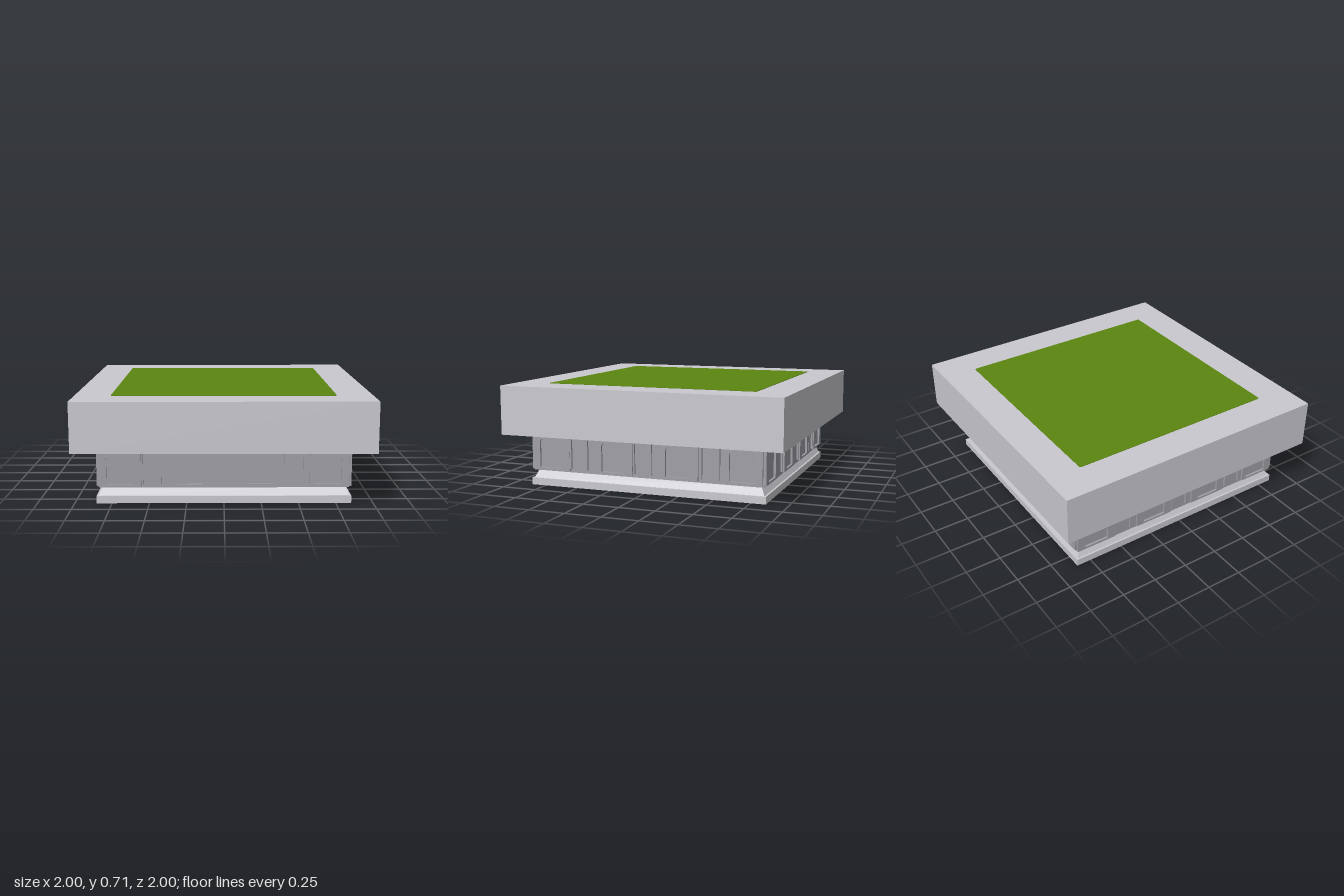
import * as THREE from 'three';

const stone = new THREE.MeshStandardMaterial({ color: 0xcac9cf });
stone.name = 'light stone';
const darkStone = new THREE.MeshStandardMaterial({ color: 0xa09fa5 });
darkStone.name = 'dark stone';
const grass = new THREE.MeshStandardMaterial({ color: 0x5c860f });
grass.name = 'grass green';

const WALL = 0.838, FACE = 0.853;

function add(parent, name, geometry, material, y = 0, z = 0) {
  const mesh = new THREE.Mesh(geometry, material);
  mesh.name = name;
  mesh.position.set(0, y, z);
  parent.add(mesh);
  return mesh;
}

// Closed outline with a square bottom and a shallow arched or rounded top
function arch(Type, x0, x1, y0, y1, rx, ry) {
  const p = new Type();
  p.moveTo(x0, y0);
  p.lineTo(x1, y0);
  p.lineTo(x1, y1 - ry);
  p.quadraticCurveTo(x1, y1, x1 - rx, y1);
  p.lineTo(x0 + rx, y1);
  p.quadraticCurveTo(x0, y1, x0, y1 - ry);
  p.closePath();
  return p;
}

function extrude(shape, depth) {
  return new THREE.ExtrudeGeometry(shape, { depth, bevelEnabled: false, curveSegments: 6 });
}

function createSide() {
  const side = new THREE.Group();

  // Wide frames around arched recesses: outer left, outer right, inner left, inner right
  const frames = [
    [-0.845, -0.553, -0.785, -0.61],
    [-0.37, -0.08, -0.31, -0.14],
    [0.1, 0.39, 0.16, 0.33],
    [0.573, 0.83, 0.605, 0.783],
  ];
  for (const [a, b, c, d] of frames) {
    const shape = arch(THREE.Shape, a, b, 0.115, 0.367, 0.015, 0.012);
    shape.holes.push(arch(THREE.Path, c, d, 0.13, 0.335, 0.06, 0.03));
    add(side, 'archedFrame', extrude(shape, FACE - WALL), darkStone, 0, WALL);
  }

  // Narrow arch mouldings between the frames
  for (const x of [-0.484, -0.008, 0.472]) {
    const w = 0.068, t = 0.012;
    const shape = new THREE.Shape();
    shape.moveTo(x - w, 0.13);
    shape.lineTo(x - w + t, 0.13);
    shape.lineTo(x - w + t, 0.33);
    shape.quadraticCurveTo(x - w + t, 0.353, x - 0.02, 0.353);
    shape.lineTo(x + 0.02, 0.353);
    shape.quadraticCurveTo(x + w - t, 0.353, x + w - t, 0.33);
    shape.lineTo(x + w - t, 0.13);
    shape.lineTo(x + w, 0.13);
    shape.lineTo(x + w, 0.34);
    shape.quadraticCurveTo(x + w, 0.364, x + 0.02, 0.364);
    shape.lineTo(x - 0.02, 0.364);
    shape.quadraticCurveTo(x - w, 0.364, x - w, 0.34);
    shape.closePath();
    add(side, 'narrowArch', extrude(shape, FACE - WALL), darkStone, 0, WALL);
  }
  return side;
}

export function createModel() {
  const model = new THREE.Group();
  model.name = 'pedestal';

  // Foot and its sloped shoulder
  add(model, 'foot', new THREE.BoxGeometry(1.708, 0.05, 1.708), stone, 0.025);
  const slope = new THREE.CylinderGeometry(0.815 * Math.SQRT2, 0.84 * Math.SQRT2, 0.055, 4, 1).toNonIndexed();
  slope.rotateY(Math.PI / 4);
  slope.computeVertexNormals();
  add(model, 'slopedShoulder', slope, stone, 0.0775);

  // Wall with the same carved relief turned onto each side
  add(model, 'wall', new THREE.BoxGeometry(WALL * 2, 0.265, WALL * 2), darkStone, 0.2375);
  ['front', 'left', 'back', 'right'].forEach((name, i) => {
    const side = createSide();
    side.name = name + 'Relief';
    side.rotation.y = i * Math.PI / 2;
    model.add(side);
  });

  // Overhanging slab
  add(model, 'topSlab', new THREE.BoxGeometry(2, 0.342, 2), stone, 0.541);

  // Grass plate with slightly rounded corners
  const s = 0.755, r = 0.012;
  const lawn = new THREE.Shape();
  lawn.absarc(s - r, s - r, r, 0, Math.PI / 2);
  lawn.absarc(r - s, s - r, r, Math.PI / 2, Math.PI);
  lawn.absarc(r - s, r - s, r, Math.PI, Math.PI * 1.5);
  lawn.absarc(s - r, r - s, r, Math.PI * 1.5, Math.PI * 2);
  const lawnGeometry = extrude(lawn, 0.004);
  lawnGeometry.rotateX(-Math.PI / 2);
  add(model, 'grass', lawnGeometry, grass, 0.711);

  return model;
}
